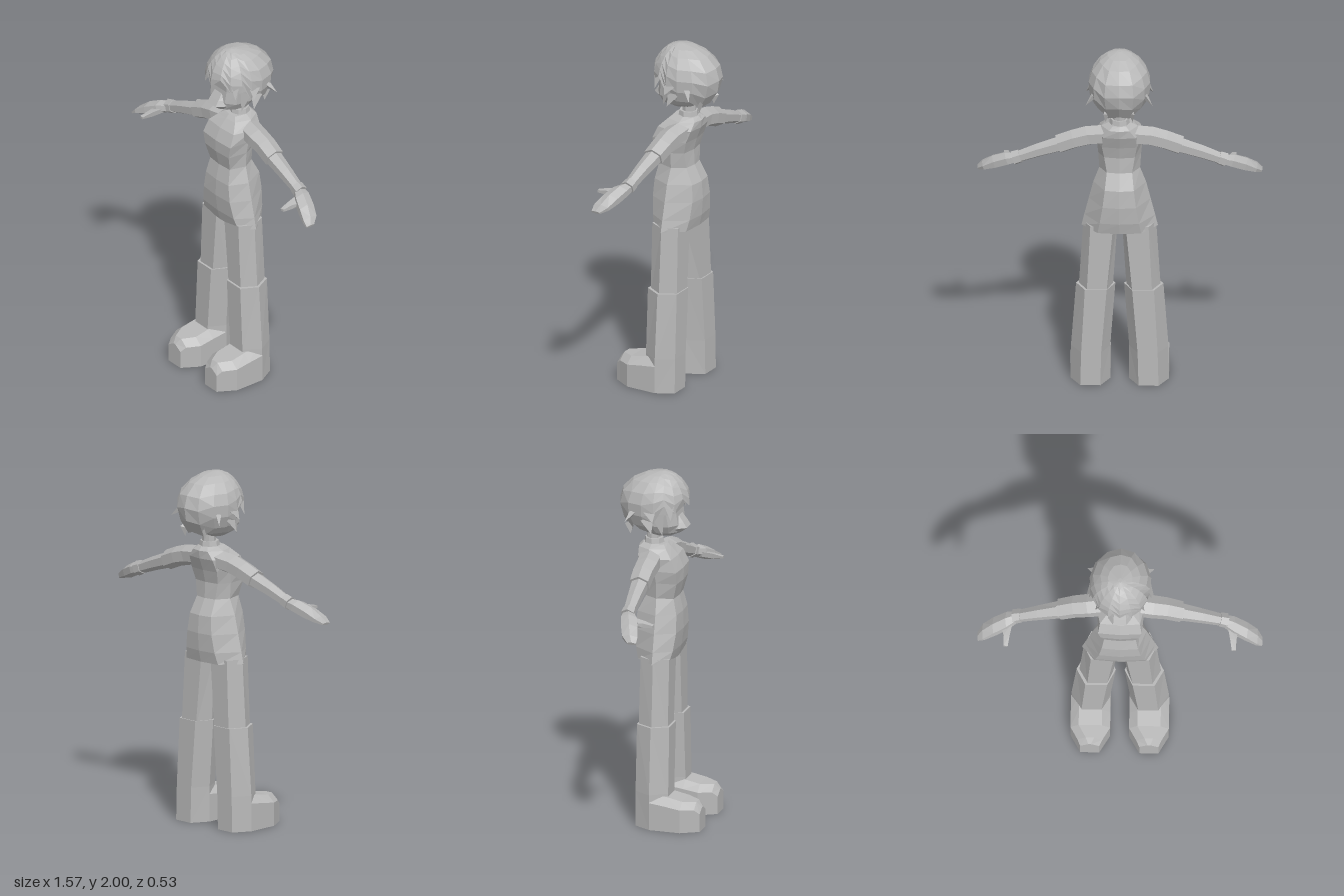
import * as THREE from 'three';

const grey = new THREE.MeshStandardMaterial({ color: 0xb8b8b8, flatShading: true, side: THREE.DoubleSide });
grey.name = 'plainGrey';

// Skin a list of closed rings (arrays of [x, y, z]); faces are turned outwards.
function loft(name, rings, { capStart = true, capEnd = true, mirror = 1 } = {}) {
  const tris = [];
  const v = (p) => new THREE.Vector3(p[0] * mirror, p[1], p[2]);
  const add = (a, b, c) => tris.push([v(a), v(b), v(c)]);
  for (let i = 0; i < rings.length - 1; i++) {
    const a = rings[i], b = rings[i + 1], n = a.length;
    for (let j = 0; j < n; j++) {
      const k = (j + 1) % n;
      add(a[j], a[k], b[k]);
      add(a[j], b[k], b[j]);
    }
  }
  const first = rings[0], last = rings[rings.length - 1];
  for (let j = 1; j < first.length - 1; j++) {
    if (capStart) add(first[0], first[j + 1], first[j]);
    if (capEnd) add(last[0], last[j], last[j + 1]);
  }
  const mid = new THREE.Vector3();
  tris.forEach((t) => t.forEach((p) => mid.add(p)));
  mid.divideScalar(tris.length * 3);
  let volume = 0;
  for (const [a, b, c] of tris) {
    volume += a.clone().sub(mid).dot(b.clone().sub(mid).cross(c.clone().sub(mid)));
  }
  const points = tris.flatMap(([a, b, c]) => (volume < 0 ? [a, c, b] : [a, b, c]))
    .flatMap((p) => [p.x, p.y, p.z]);
  const geo = new THREE.BufferGeometry();
  geo.setAttribute('position', new THREE.Float32BufferAttribute(points, 3));
  geo.computeVertexNormals();
  const mesh = new THREE.Mesh(geo, grey);
  mesh.name = name;
  return mesh;
}

// Body ring: flat front panel (half width a), side ridge (half width b), back panel.
const bodyRing = ([y, a, b, zf, zm, zb]) => [
  [0, y, zf], [a, y, zf - 0.008], [b, y, zm], [a * 0.8, y, zb + 0.012],
  [0, y, zb], [-a * 0.8, y, zb + 0.012], [-b, y, zm], [-a, y, zf - 0.008],
];

// Leg ring: six sides, inner and outer ridge with flat front and back.
const legRing = ([y, xi, pi, po, xo, zf, zb]) => [
  [pi, y, zf], [po, y, zf], [xo, y, -0.012], [po, y, zb], [pi, y, zb], [xi, y, -0.012],
];

// Arm ring: six sides, tilted to stay square to the drooping arm.
function armRing([x, y, z, ry, rz]) {
  const ring = [];
  for (let i = 0; i < 6; i++) {
    const t = (i * Math.PI) / 3 + Math.PI / 6;
    const dy = Math.sin(t) * ry;
    ring.push([x + dy * 0.36, y + dy, z + Math.cos(t) * rz * 1.15]);
  }
  return ring;
}

// Foot ring: flat sole with bevelled top edges.
const footRing = ([z, xi, xo, h]) => [
  [xi, 0, z], [xi, h * 0.78, z], [xi + 0.045, h, z],
  [xo - 0.045, h, z], [xo, h * 0.78, z], [xo, 0, z],
];

// Pointed tuft from a small triangular base to a tip.
function tuft(name, base, tip, r, mirror) {
  const [x, y, z] = base;
  const ring = [[x, y + r, z + r], [x + r * 0.5, y, z - r], [x - r * 0.5, y - r * 0.4, z]];
  return loft(name, [ring, ring.map(() => tip)], { capEnd: false, mirror });
}

function interpolate(table, y) {
  for (let i = 1; i < table.length; i++) {
    const [y0, s0] = table[i - 1], [y1, s1] = table[i];
    if (y >= y1) return s0 + ((s1 - s0) * (y0 - y)) / (y0 - y1);
  }
  return table[table.length - 1][1];
}

// Hair cap whose lower rim rises over the face and falls to the nape.
function hairCap() {
  const profile = [[2, 0], [1.985, 0.38], [1.95, 0.68], [1.9, 0.9], [1.84, 1], [1.76, 0.97], [1.65, 0.68]];
  const half = [[0, 1.81], [22, 1.865], [42, 1.8], [62, 1.84], [80, 1.74], [100, 1.71], [125, 1.71], [152, 1.66]];
  const rim = [...half, [180, 1.68], ...half.slice(1).reverse().map(([a, y]) => [360 - a, y])];
  const rings = [0.01, 0.06, 0.16, 0.34, 0.55, 0.78, 1].map((t) => rim.map(([deg, low]) => {
    const a = THREE.MathUtils.degToRad(deg);
    const y = 2 - (2 - low) * t;
    const s = interpolate(profile, y);
    const c = Math.cos(a);
    return [Math.sin(a) * 0.172 * s, y, -0.055 * s - 0.01 * (1 - s) + c * (c > 0 ? 0.192 : 0.21) * s];
  }));
  return loft('hairCap', rings, { capEnd: false });
}

function headRing([y, w, zf, zb]) {
  const m = (zf + zb) / 2;
  return [[w * 0.5, y, zf], [w * 0.9, y, zf - 0.04], [w, y, m], [w * 0.6, y, zb],
    [-w * 0.6, y, zb], [-w, y, m], [-w * 0.9, y, zf - 0.04], [-w * 0.5, y, zf]];
}

export function createModel() {
  const model = new THREE.Group();
  model.name = 'standingFigure';

  // Tunic, from hem to neckline
  model.add(loft('tunic', [
    [0.935, 0.15, 0.21, 0.072, -0.015, -0.135], [1.0, 0.135, 0.195, 0.09, -0.015, -0.15],
    [1.1, 0.115, 0.17, 0.103, -0.015, -0.158], [1.2, 0.1, 0.145, 0.1, -0.015, -0.15],
    [1.29, 0.087, 0.112, 0.08, -0.02, -0.105], [1.38, 0.105, 0.118, 0.102, -0.02, -0.1],
    [1.45, 0.12, 0.125, 0.103, -0.03, -0.118], [1.52, 0.11, 0.135, 0.072, -0.05, -0.145],
    [1.565, 0.07, 0.1, 0.03, -0.065, -0.15], [1.585, 0.045, 0.06, 0.01, -0.065, -0.13],
  ].map(bodyRing)));

  // Collar and neck
  const cylinder = (name, top, bottom, y0, y1, z) => {
    const mesh = new THREE.Mesh(new THREE.CylinderGeometry(top, bottom, y1 - y0, 8), grey);
    mesh.name = name;
    mesh.position.set(0, (y0 + y1) / 2, z);
    model.add(mesh);
  };
  cylinder('collar', 0.052, 0.062, 1.56, 1.612, -0.066);
  cylinder('neck', 0.038, 0.04, 1.58, 1.7, -0.07);

  // Head, protruding jaw and hair
  model.add(loft('head', [
    [1.635, 0.05, 0.04, -0.07], [1.665, 0.1, 0.08, -0.13], [1.71, 0.128, 0.09, -0.18],
    [1.78, 0.136, 0.08, -0.2], [1.86, 0.135, 0.085, -0.2], [1.93, 0.08, 0.05, -0.14],
  ].map(headRing)));
  model.add(loft('jaw', [
    [1.64, 0.045, 0.05, -0.03], [1.665, 0.065, 0.1, -0.03], [1.69, 0.072, 0.132, -0.03],
    [1.72, 0.07, 0.112, -0.02], [1.755, 0.062, 0.086, 0],
  ].map(headRing)));
  model.add(hairCap());

  for (const s of [1, -1]) {
    const side = s > 0 ? 'left' : 'right';
    const opt = { mirror: s };

    // Loose locks around the face and nape
    [
      [[0.15, 1.8, -0.04], [0.185, 1.75, -0.02], 0.035], [[0.145, 1.75, -0.06], [0.172, 1.68, -0.03], 0.035],
      [[0.13, 1.76, 0.0], [0.125, 1.66, 0.02], 0.03], [[0.13, 1.79, -0.13], [0.185, 1.74, -0.18], 0.035],
      [[0.11, 1.83, 0.06], [0.135, 1.755, 0.07], 0.028], [[0.07, 1.7, -0.18], [0.075, 1.64, -0.18], 0.03],
    ].forEach(([base, tip, r], i) => model.add(tuft(`${side}HairLock${i + 1}`, base, tip, r, s)));

    // Arm: sleeve, forearm, cuff, hand and thumb
    const arm = new THREE.Group();
    arm.name = `${side}Arm`;
    const section = (name, rows) => arm.add(loft(name, rows.map(armRing), opt));
    section('sleeve', [[0.07, 1.51, -0.06, 0.055, 0.06], [0.17, 1.497, -0.05, 0.054, 0.058],
      [0.25, 1.475, -0.05, 0.052, 0.055], [0.335, 1.44, -0.045, 0.052, 0.052]]);
    section('forearm', [[0.31, 1.447, -0.045, 0.042, 0.045], [0.45, 1.397, -0.038, 0.037, 0.036],
      [0.58, 1.345, -0.032, 0.03, 0.028]]);
    section('cuff', [[0.545, 1.36, -0.034, 0.037, 0.034], [0.585, 1.345, -0.032, 0.039, 0.036]]);
    section('hand', [[0.57, 1.347, -0.03, 0.027, 0.03], [0.62, 1.333, -0.012, 0.035, 0.045],
      [0.69, 1.302, 0.012, 0.034, 0.048], [0.75, 1.272, 0.034, 0.02, 0.045], [0.78, 1.25, 0.052, 0.008, 0.026]]);
    arm.add(loft('thumb', [
      [[0.59, 1.34, 0.0], [0.655, 1.325, 0.01], [0.645, 1.295, 0.01], [0.595, 1.31, 0.0]],
      [[0.605, 1.33, 0.07], [0.64, 1.325, 0.07], [0.64, 1.3, 0.07], [0.61, 1.3, 0.07]],
      [[0.615, 1.315, 0.13], [0.638, 1.315, 0.128], [0.638, 1.302, 0.128], [0.618, 1.302, 0.13]],
    ], opt));
    model.add(arm);

    // Leg: trouser, wider boot shaft and blocky toe
    const leg = new THREE.Group();
    leg.name = `${side}Leg`;
    leg.add(loft('trouserLeg', [
      [0.55, 0.038, 0.072, 0.18, 0.226, 0.068, -0.1], [0.96, 0.012, 0.035, 0.16, 0.2, 0.07, -0.095],
    ].map(legRing), opt));
    leg.add(loft('bootShaft', [
      [0, 0.052, 0.105, 0.215, 0.27, 0.08, -0.108], [0.2, 0.052, 0.1, 0.21, 0.268, 0.08, -0.108],
      [0.58, 0.024, 0.07, 0.19, 0.24, 0.08, -0.106],
    ].map(legRing), opt));
    leg.add(loft('bootToe', [
      [-0.012, 0.052, 0.27, 0.2], [0.08, 0.052, 0.27, 0.185], [0.165, 0.052, 0.27, 0.168],
      [0.235, 0.093, 0.23, 0.162], [0.263, 0.11, 0.215, 0.13],
    ].map(footRing), opt));
    model.add(leg);
  }
  return model;
}
